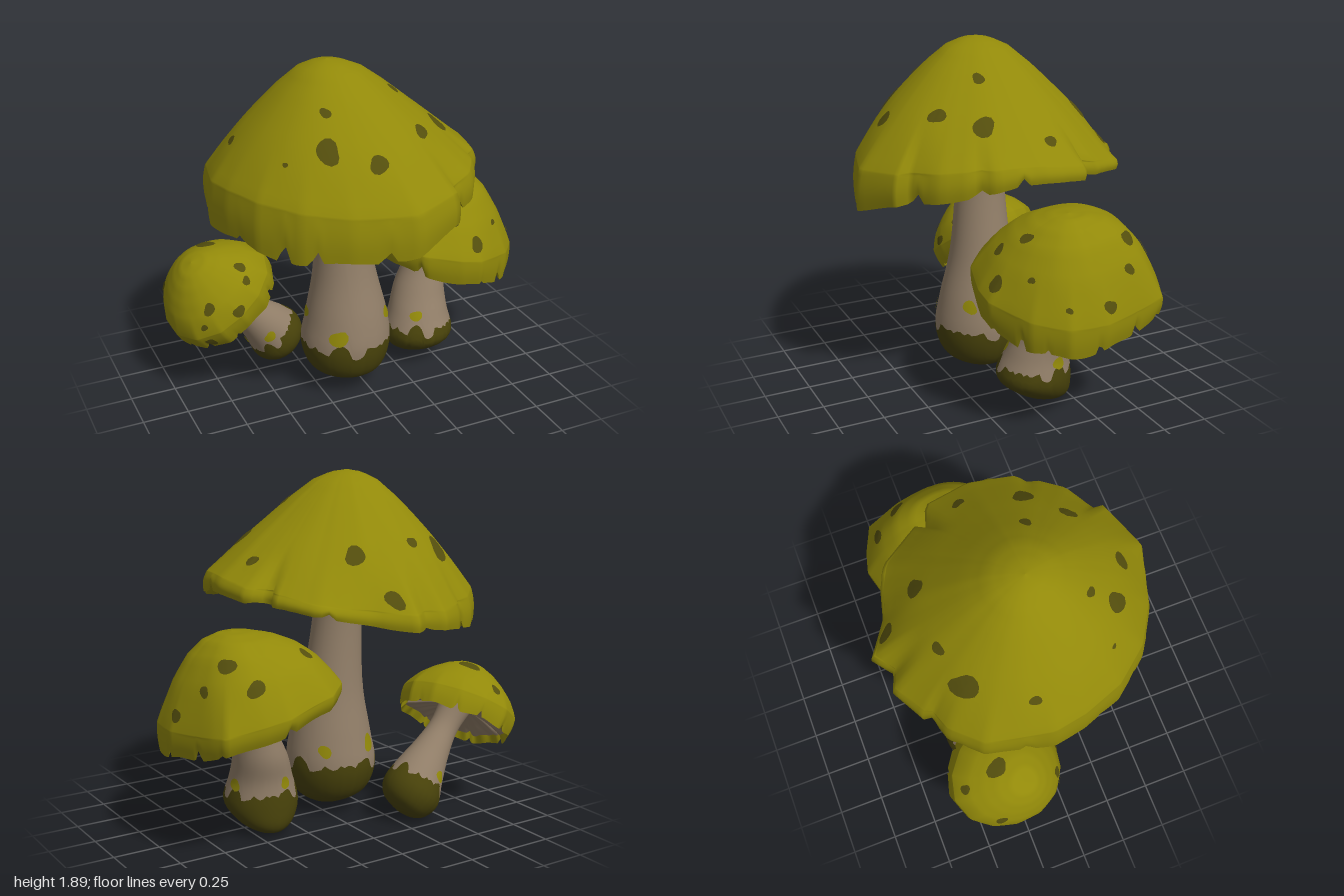
import * as THREE from 'three';

const material = (name, color, side = THREE.FrontSide) => {
  const m = new THREE.MeshStandardMaterial({ color, side });
  m.name = name;
  return m;
};
const TAU = Math.PI * 2;
const { lerp, smoothstep } = THREE.MathUtils;

// Piecewise linear lookup in a list of [x, y] pairs
function lookup(table, x) {
  for (let i = 1; i < table.length; i++) {
    const [x0, y0] = table[i - 1], [x1, y1] = table[i];
    if (x <= x1) return lerp(y0, y1, (x - x0) / (x1 - x0));
  }
  return table[table.length - 1][1];
}

// Closed band of surface P(angle, v) between v0(angle) and v1(angle)
function band(name, mat, P, nu, nv, v0, v1) {
  const pos = [], index = [];
  for (let j = 0; j <= nv; j++) {
    for (let i = 0; i < nu; i++) {
      const a = i / nu * TAU;
      pos.push(...P(a, lerp(v0(a), v1(a), j / nv)).toArray());
      if (j === nv) continue;
      const k = (i + 1) % nu, r = j * nu, s = r + nu;
      index.push(r + i, r + k, s + i, r + k, s + k, s + i);
    }
  }
  return makeMesh(name, mat, pos, index);
}

function makeMesh(name, mat, pos, index) {
  const g = new THREE.BufferGeometry();
  g.setAttribute('position', new THREE.Float32BufferAttribute(pos, 3));
  g.setIndex(index);
  g.computeVertexNormals();
  const mesh = new THREE.Mesh(g, mat);
  mesh.name = name;
  return mesh;
}

// Thin irregular patch lying on surface P around (a0, v0)
function patch(name, mat, P, a0, v0, radius, seed) {
  const e = 0.01, n = 14, rings = 3, pos = [], index = [];
  const du = P(a0 + e, v0).sub(P(a0 - e, v0)).length() / (2 * e);
  const dv = P(a0, v0 + e).sub(P(a0, v0 - e)).length() / (2 * e);
  const lifted = (a, v) => {
    const tu = P(a + e, v).sub(P(a - e, v)), tv = P(a, v + e).sub(P(a, v - e));
    return P(a, v).addScaledVector(tu.cross(tv).normalize(), 0.006).toArray();
  };
  pos.push(...lifted(a0, v0));
  for (let k = 1; k <= rings; k++) {
    for (let i = 0; i < n; i++) {
      const t = i / n * TAU;
      const r = radius * k / rings * (1 + 0.14 * Math.sin(2 * t + seed) + 0.08 * Math.sin(3 * t + seed * 2.3));
      pos.push(...lifted(a0 + r * Math.cos(t) / du, v0 + r * Math.sin(t) / dv));
      const o = 1 + (k - 1) * n, p = o - n, j = (i + 1) % n;
      if (k === 1) index.push(0, o + i, o + j);
      else index.push(p + i, o + i, o + j, p + i, o + j, p + j);
    }
  }
  return makeMesh(name, mat, pos, index);
}

// Distance from the apex to the rim outline along an angle
function rimRadius(outline, ax, az, a) {
  const c = Math.cos(a), s = Math.sin(a);
  let best = 0.01;
  outline.forEach(([x0, z0], i) => {
    const [x1, z1] = outline[(i + 1) % outline.length];
    const px = x0 - ax, pz = z0 - az, ex = x1 - x0, ez = z1 - z0;
    const d = c * ez - s * ex;
    if (Math.abs(d) < 1e-9) return;
    const t = (px * ez - pz * ex) / d, u = (px * s - pz * c) / d;
    if (t > 0 && u >= -1e-6 && u <= 1 + 1e-6) best = Math.max(best, t);
  });
  return best;
}

function makeCap(name, o, mats) {
  const group = new THREE.Group();
  group.name = name;
  const [ax, ay, az] = o.apex;
  const notch = a => { // narrow torn cuts around the rim, with a gentle wave between
    let cut = 0.06 + 0.06 * Math.sin(7 * a + o.seed);
    for (let i = 0; i < o.notches; i++) {
      const at = (i + 0.32 * Math.sin(i * 4.7 + o.seed)) / o.notches * TAU;
      const d = Math.abs(Math.atan2(Math.sin(a - at), Math.cos(a - at)));
      cut = Math.max(cut, (0.36 + 0.18 * Math.sin(i * 2.9 + o.seed)) * (1 - d / 0.06));
    }
    return cut;
  };
  const smoothRadius = a => { // outline averaged over neighbouring angles
    let sum = 0;
    for (let i = -4; i <= 4; i++) sum += rimRadius(o.outline, ax, az, a + i * 0.08);
    return sum / 9;
  };
  const frame = (a, v) => {
    const c = Math.cos(a), s = Math.sin(a), soft = smoothRadius(a);
    const R = lerp(soft, rimRadius(o.outline, ax, az, a), smoothstep(v, 0.7, 1.1));
    const low = o.rimY(ax + c * soft, az + s * soft), drop = o.drop(c, s);
    return { c, s, R, drop, shoulder: low + drop, rim: low + drop * notch(a) };
  };
  const at = (f, r, y) => new THREE.Vector3(ax + f.c * f.R * r, y, az + f.s * f.R * r);
  // v: 0 apex, 1 shoulder, 2 rim
  const outer = (a, v) => {
    const f = frame(a, v);
    if (v > 1) {
      const t = v - 1;
      return at(f, lerp(o.shoulderR, o.edgeR, t) + 0.015 * Math.sin(Math.PI * t), lerp(f.shoulder, f.rim, t));
    }
    const bulge = o.bulge(f.c, f.s) * 6.75 * v * v * (1 - v);
    return at(f, v * o.shoulderR, lerp(f.shoulder, ay, lookup(o.profile, Math.max(0, v))) + bulge);
  };
  // v: 0 rim, 1 inner lip, 2 centre of the gills
  const under = (a, v) => {
    const f = frame(a, 2 - v), lip = f.rim + Math.min(0.04, f.drop * 0.4);
    const inner = 0.9 + 0.025 * Math.sin(17 * a);
    if (v <= 1) return at(f, lerp(o.edgeR, inner, v), lerp(f.rim, lip, v));
    const s = 2 - v, ridge = 0.012 * Math.abs(((a / TAU * 24) % 1) * 2 - 1) * s;
    return at(f, inner * s, lerp(o.gillY, lip, s * s) - ridge * Math.min(1, (1 - s) * 6));
  };
  const k = x => () => x;
  group.add(
    band('capTop', mats.cap, outer, 144, 40, k(0), k(2)),
    band('capLip', mats.cap, under, 144, 1, k(0), k(1)),
    band('gills', mats.stem, under, 144, 12, k(1), k(2)));
  o.spots.forEach(([x, z, r], i) => {
    const a = Math.atan2(z - az, x - ax);
    const v = Math.hypot(x - ax, z - az) / (smoothRadius(a) * o.shoulderR);
    group.add(patch('capSpot', mats.spot, outer, a, v, r, i * 1.7));
  });
  return group;
}

// Stem given from top to bottom as [x, y, z, radius]
function makeStem(name, pts, split, patches, mats) {
  const group = new THREE.Group();
  group.name = name;
  const path = new THREE.CatmullRomCurve3(pts.map(p => new THREE.Vector3(p[0], p[1], p[2])), false, 'catmullrom');
  const radius = new THREE.CatmullRomCurve3(pts.map(p => new THREE.Vector3(p[3], 0, 0)), false, 'catmullrom');
  const axis = path.getPoint(0).sub(path.getPoint(0.57)).normalize();
  if (axis.y > 0.9) axis.set(0, 1, 0);
  const q = new THREE.Quaternion().setFromUnitVectors(new THREE.Vector3(0, 1, 0), axis);
  const P = (a, v) => {
    const r = Math.max(0, radius.getPoint(v).x);
    return new THREE.Vector3(Math.cos(a) * r, 0, Math.sin(a) * r).applyQuaternion(q).add(path.getPoint(v));
  };
  const edge = a => split + 0.015 * (Math.sin(5 * a) + Math.sin(11 * a + 1) + Math.sign(Math.sin(8 * a + 0.4)));
  group.add(
    band('stalk', mats.stem, P, 72, 18, () => 0, edge),
    band('mossyBase', mats.moss, P, 72, 14, edge, () => 1));
  patches.forEach(([a, v, r], i) => group.add(patch('stemPatch', mats.cap, P, a, v, r, i * 2.1 + 1)));
  return group;
}

export function createModel() {
  const mats = {
    cap: material('olive yellow cap', 0x928909),
    spot: material('dark olive spot', 0x544e0d),
    stem: material('taupe stem', 0x917e68, THREE.DoubleSide),
    moss: material('deep olive moss', 0x48420a),
  };
  const model = new THREE.Group();
  model.name = 'mushroomCluster';

  // Tall middle mushroom
  model.add(makeCap('tallCap', {
    apex: [-0.17, 1.89, 0.02], gillY: 1.46, shoulderR: 0.975, edgeR: 1, notches: 13, seed: 1,
    outline: [[0.63, 0], [0.58, 0.27], [0.52, 0.31], [0.515, 0.37], [0.43, 0.5], [0.27, 0.59], [0.28, 0.65],
      [0, 0.765], [-0.15, 0.72], [-0.32, 0.67], [-0.53, 0.545], [-0.69, 0.35], [-0.77, 0.13], [-0.8, -0.05],
      [-0.72, -0.4], [-0.575, -0.55], [-0.45, -0.59], [-0.44, -0.63], [-0.265, -0.73], [-0.175, -0.69],
      [-0.065, -0.775], [0.11, -0.65], [0.26, -0.61], [0.38, -0.55], [0.51, -0.33], [0.47, -0.28], [0.6, -0.24]],
    rimY: (x, z) => 1.07 + 0.16 * (x + 0.08) + 0.2 * (x + 0.08) ** 2 - 0.02 * z + 0.1 * Math.min(0, z) ** 2,
    drop: (c, s) => 0.175 - 0.08 * c + 0.07 * s,
    bulge: (c, s) => 0.012 + 0.04 * Math.max(0, -c) + 0.05 * s * s,
    profile: [[0, 1], [0.12, 0.97], [0.25, 0.88], [0.4, 0.71], [0.6, 0.46], [0.8, 0.22], [0.93, 0.07], [1, 0]],
    spots: [[-0.46, -0.4, 0.075], [-0.25, -0.455, 0.035], [0, -0.65, 0.05], [0.1, -0.455, 0.055],
      [0.475, -0.09, 0.035], [-0.645, -0.105, 0.03], [0.14, 0.145, 0.033], [0.36, 0.22, 0.058],
      [0.18, 0.39, 0.045], [-0.3, 0.305, 0.028], [-0.345, 0.435, 0.062], [-0.13, 0.555, 0.048], [-0.53, 0.35, 0.014]],
  }, mats));
  model.add(makeStem('tallStem', [[-0.11, 1.48, 0.02, 0.2], [-0.115, 1.2, 0.02, 0.135], [-0.085, 0.75, 0.03, 0.165],
    [-0.075, 0.45, 0.04, 0.225], [-0.08, 0.27, 0.04, 0.25], [-0.075, 0.13, 0.04, 0.205], [-0.05, 0.065, 0.03, 0.1],
    [-0.04, 0.05, 0.02, 0]], 0.545,
  [[2.15, 0.475, 0.048], [0.68, 0.425, 0.038], [4.2, 0.46, 0.045], [3.3, 0.42, 0.035], [5.4, 0.47, 0.035]], mats));

  // Medium mushroom on the left side
  model.add(makeCap('mediumCap', {
    apex: [0.62, 1.12, -0.12], gillY: 0.86, shoulderR: 1, edgeR: 0.97, notches: 11, seed: 3,
    outline: [[0.99, -0.15], [0.97, 0.05], [0.85, 0.2], [0.62, 0.32], [0.5, 0.32], [0.3, 0.27], [0.17, 0.14],
      [0.09, -0.05], [0.1, -0.25], [0.17, -0.45], [0.3, -0.57], [0.45, -0.6], [0.58, -0.63], [0.7, -0.6],
      [0.88, -0.53], [0.91, -0.45]],
    rimY: (x, z) => 0.63 - 0.28 * (x - 0.55) - 0.12 * (z + 0.15),
    drop: (c, s) => 0.13 + 0.025 * c + 0.035 * s,
    bulge: (c, s) => 0.01 + 0.025 * Math.max(0, c) + 0.03 * Math.max(0, -s),
    profile: [[0, 1], [0.2, 0.96], [0.4, 0.85], [0.6, 0.66], [0.8, 0.38], [0.93, 0.14], [1, 0]],
    spots: [[0.7, -0.51, 0.045], [0.78, -0.365, 0.045], [0.88, -0.32, 0.03], [0.61, 0.27, 0.042], [0.62, 0.11, 0.034],
      [0.93, 0.04, 0.016], [0.5, 0.2, 0.032], [0.28, 0.01, 0.03], [0.77, 0.16, 0.018], [0.96, -0.17, 0.035],
      [0.36, -0.4, 0.035]],
  }, mats));
  model.add(makeStem('mediumStem', [[0.57, 0.88, -0.15, 0.16], [0.505, 0.62, -0.13, 0.11], [0.455, 0.43, -0.1, 0.145],
    [0.43, 0.3, -0.06, 0.17], [0.42, 0.17, -0.04, 0.2], [0.42, 0.075, -0.09, 0.15], [0.42, 0.025, -0.14, 0.07],
    [0.42, 0.015, -0.15, 0]], 0.5, [[2.1, 0.41, 0.032], [-0.2, 0.44, 0.035], [4.4, 0.43, 0.032]], mats));

  // Small leaning mushroom on the right side
  const smallOutline = [];
  for (let i = 0; i < 14; i++) {
    const a = i / 14 * TAU, r = 0.325 + 0.012 * Math.sin(3 * a + 1);
    smallOutline.push([r * Math.cos(a), r * Math.sin(a)]);
  }
  const small = makeCap('smallCap', {
    apex: [0, 0.37, 0], gillY: 0.11, shoulderR: 1, edgeR: 0.97, notches: 9, seed: 5, outline: smallOutline,
    rimY: () => 0, drop: () => 0.12,
    bulge: () => 0,
    profile: [[0, 1], [0.25, 0.94], [0.45, 0.8], [0.65, 0.6], [0.84, 0.36], [0.94, 0.16], [1, 0]],
    spots: [[-0.05, 0.239, 0.032], [0.07, 0.29, 0.033], [-0.217, 0.42, 0.028], [0.2, 0.12, 0.03], [0.19, 0.19, 0.024],
      [0.1, -0.12, 0.052], [0, -0.28, 0.03], [-0.22, -0.12, 0.03], [-0.13, 0.27, 0.018]],
  }, mats);
  small.position.set(-0.67, 0.47, -0.31);
  small.rotation.set(0.25, 0, 0.56);
  model.add(small);
  model.add(makeStem('smallStem', [[-0.74, 0.61, -0.28, 0.1], [-0.63, 0.47, -0.29, 0.08], [-0.53, 0.36, -0.31, 0.1],
    [-0.42, 0.24, -0.335, 0.14], [-0.35, 0.15, -0.355, 0.165], [-0.3, 0.09, -0.37, 0.135], [-0.28, 0.055, -0.39, 0.07],
    [-0.27, 0.045, -0.39, 0]], 0.48, [[1.7, 0.41, 0.032], [4.5, 0.42, 0.03], [3, 0.4, 0.024]], mats));

  return model;
}
